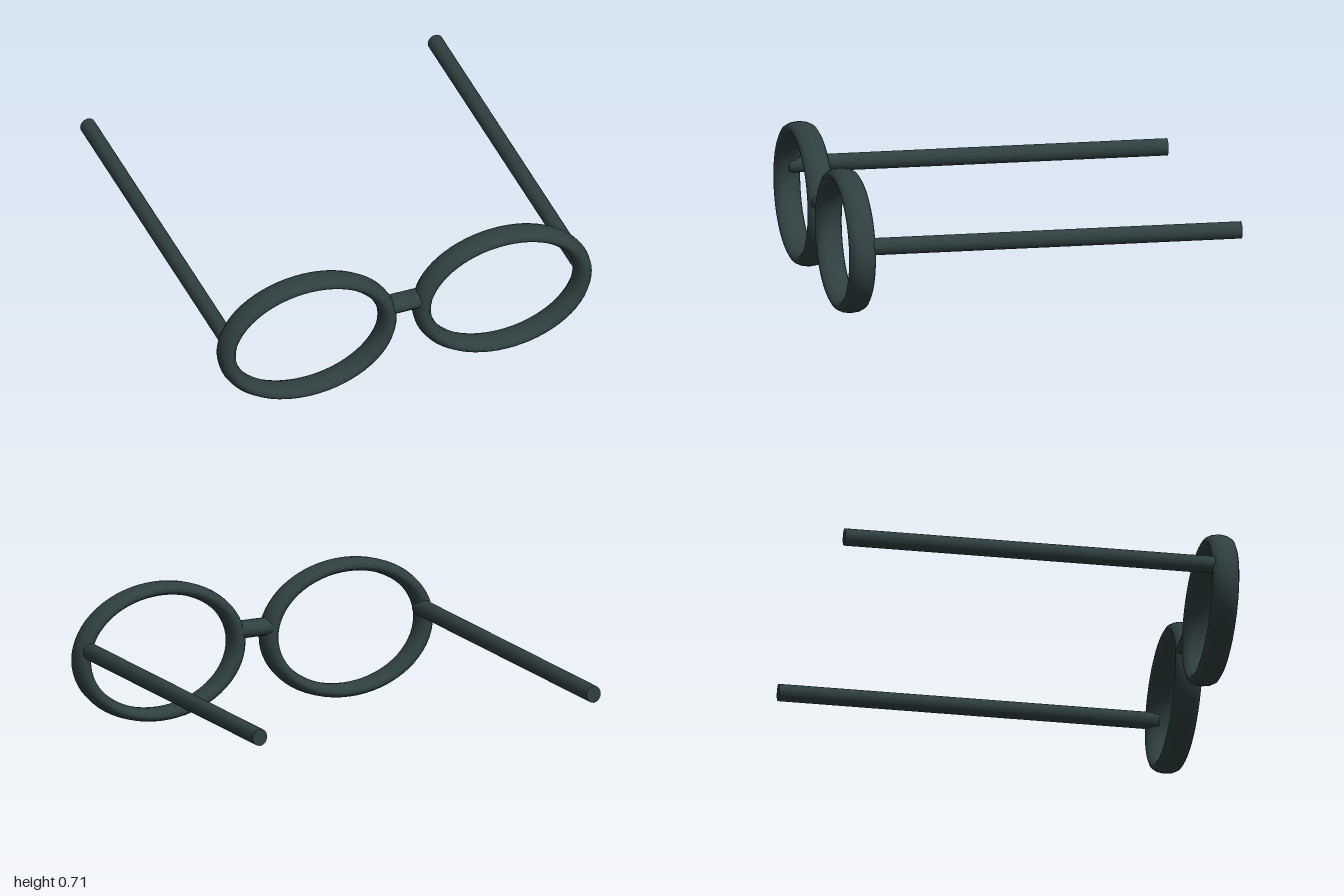
import * as THREE from 'three';

export function createModel() {
  const glasses = new THREE.Group();
  glasses.name = 'glasses';

  const frameMaterial = new THREE.MeshStandardMaterial({ color: 0x2f4040 });
  frameMaterial.name = 'dark slate frame';

  const add = (name, geometry) => {
    const mesh = new THREE.Mesh(geometry, frameMaterial);
    mesh.name = name;
    glasses.add(mesh);
  };

  for (const [side, s] of [['left', 1], ['right', -1]]) {
    // Oval rim: a round ring squashed in height and deepened front to back
    add(`${side}Rim`, new THREE.TorusGeometry(0.432, 0.044, 12, 64)
      .scale(1, 0.75, 1.55)
      .translate(s * 0.524, 0.357, 0.932));

    // Straight temple arm running back from the outer edge of the rim
    add(`${side}Temple`, new THREE.CylinderGeometry(1, 1, 1.93, 16)
      .rotateX(Math.PI / 2)
      .scale(0.04, 0.044, 1)
      .translate(s * 0.933, 0.415, -0.035));
  }

  // Flattened bridge whose ends are buried in the rims
  add('bridge', new THREE.CylinderGeometry(1, 1, 0.19, 16)
    .rotateZ(Math.PI / 2)
    .scale(1, 0.044, 0.06)
    .translate(0, 0.415, 0.926));

  return glasses;
}
